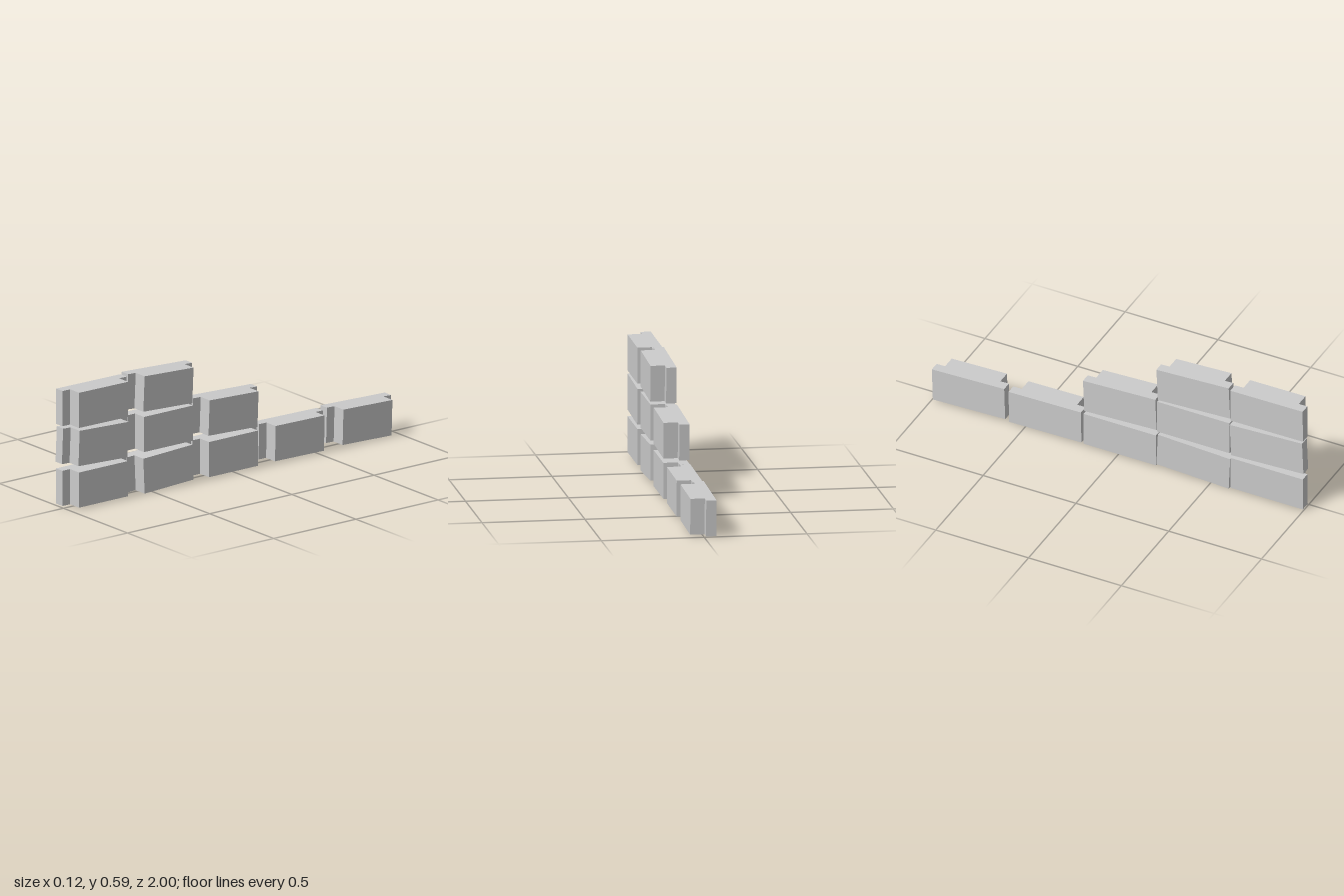
import * as THREE from 'three';

// T-shaped block outline seen from above: long back slab, shorter front slab
function blockGeometry() {
  const half = 0.195, inner = 0.149, height = 0.177;
  const outline = [
    [-0.06, -half], [-0.01, -half], [-0.01, -inner], [0.06, -inner],
    [0.06, inner], [-0.01, inner], [-0.01, half], [-0.06, half],
  ].map(([x, z]) => new THREE.Vector2(x, z));
  const geo = new THREE.ExtrudeGeometry(new THREE.Shape(outline), { depth: height, bevelEnabled: false });
  geo.translate(0, 0, -height / 2);
  geo.rotateX(-Math.PI / 2);
  return geo;
}

export function createModel() {
  const wall = new THREE.Group();
  wall.name = 'blockWall';
  const geo = blockGeometry();
  const material = new THREE.MeshStandardMaterial({ color: 0xcccccc, flatShading: true });

  // Column centres along z, and the slight tilt of each block per course
  const columns = [0.803, 0.408, 0.012, -0.391, -0.803];
  const courses = [
    { y: 0.099, tilts: [0, 0.044, 0, -0.015, -0.03] },
    { y: 0.302, tilts: [-0.042, 0, -0.04] },
    { y: 0.499, tilts: [-0.008, -0.046] },
  ];
  courses.forEach(({ y, tilts }, row) => {
    const course = new THREE.Group();
    course.name = `course${row + 1}`;
    tilts.forEach((tilt, i) => {
      const block = new THREE.Mesh(geo, material);
      block.name = `block${row + 1}_${i + 1}`;
      block.position.set(0, y, columns[i]);
      block.rotation.x = tilt; // positive raises the -z end
      course.add(block);
    });
    wall.add(course);
  });
  return wall;
}
